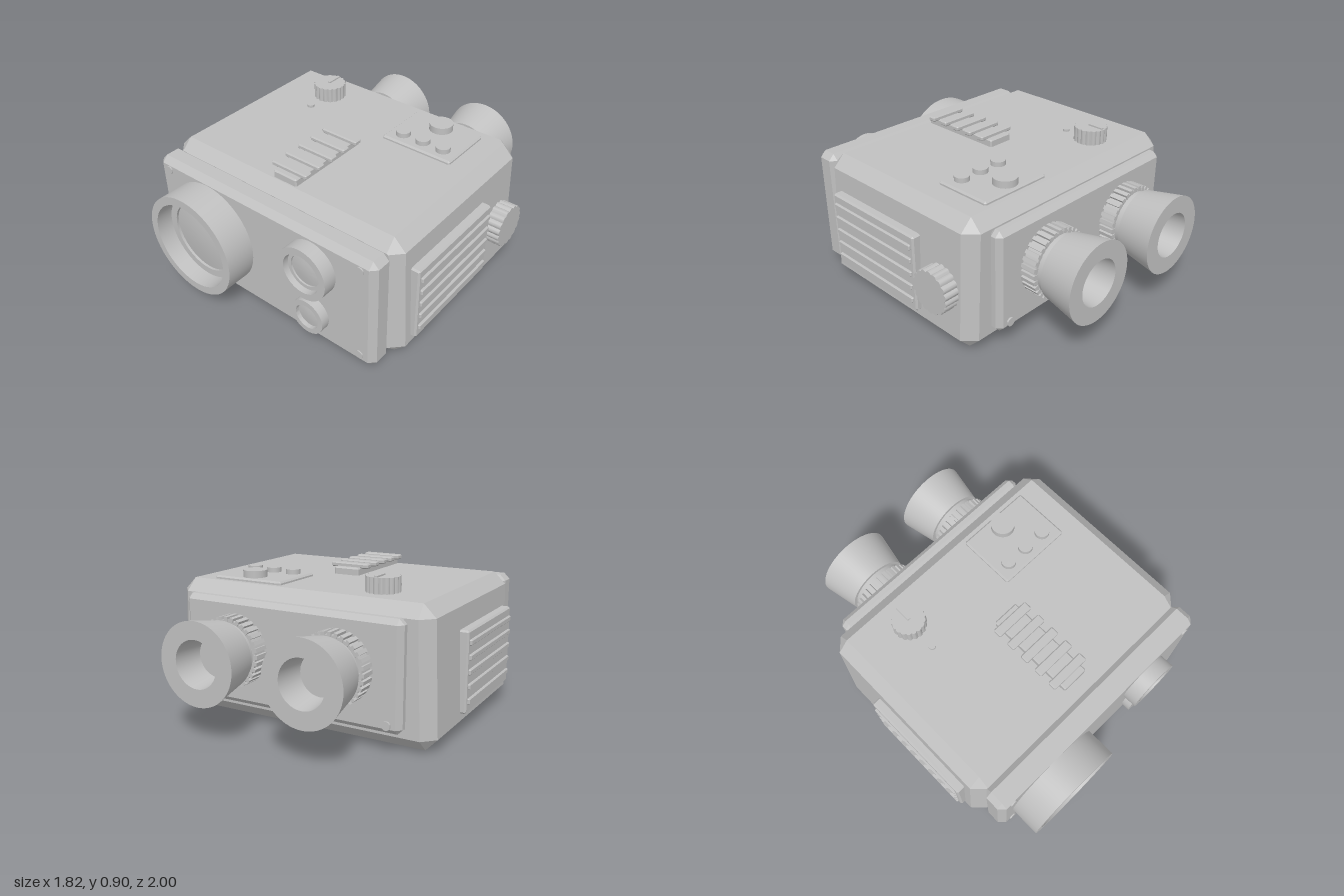
import * as THREE from 'three';
import { toCreasedNormals } from 'three/addons/utils/BufferGeometryUtils.js';
import { ConvexGeometry } from 'three/addons/geometries/ConvexGeometry.js';

export function createModel() {
  const model = new THREE.Group();
  const grey = new THREE.MeshStandardMaterial({ color: 0xc0c0c0 });
  grey.name = 'light grey';

  const add = (name, geo, x = 0, y = 0, z = 0) => {
    const m = new THREE.Mesh(geo, grey);
    m.name = name;
    m.position.set(x, y, z);
    model.add(m);
    return m;
  };

  // Box between two corners with every edge chamfered; taper narrows x upward
  const chamferBox = (name, x0, x1, y0, y1, z0, z1, c, taper = 0) => {
    const h = [(x1 - x0) / 2, (y1 - y0) / 2, (z1 - z0) / 2];
    const pts = [];
    for (const sx of [-1, 1]) for (const sy of [-1, 1]) for (const sz of [-1, 1])
      for (let full = 0; full < 3; full++) {
        const p = [sx, sy, sz].map((s, i) => s * (h[i] - (i === full ? 0 : c)));
        p[0] *= 1 - taper * (p[1] + h[1]) / (2 * h[1]);
        pts.push(new THREE.Vector3(...p));
      }
    return add(name, new ConvexGeometry(pts), (x0 + x1) / 2, (y0 + y1) / 2, (z0 + z1) / 2);
  };

  // Turned part along z; dir 1 faces the front, -1 the back
  const turned = (name, profile, x, y, dir) => {
    let g = new THREE.LatheGeometry(profile.map(([r, d]) => new THREE.Vector2(r, d)), 64);
    g = toCreasedNormals(g, 0.5);
    g.rotateX(dir * Math.PI / 2);
    return add(name, g, x, y, 0);
  };

  // Upright disc standing on base height y
  const disc = (name, r, h, x, y, z) =>
    add(name, new THREE.CylinderGeometry(r, r, h, 40), x, y + h / 2, z);

  // Scalloped knob extruded along +z
  const knobGeometry = (r, depth, lobes) => {
    const pts = [];
    const n = lobes * 8;
    for (let i = 0; i < n; i++) {
      const a = (i / n) * Math.PI * 2;
      const q = r * (0.92 + 0.08 * Math.abs(Math.sin(a * lobes / 2)));
      pts.push(new THREE.Vector2(Math.cos(a) * q, Math.sin(a) * q));
    }
    const g = new THREE.ExtrudeGeometry(new THREE.Shape(pts), { depth, bevelEnabled: false });
    return toCreasedNormals(g, 0.6);
  };

  // Housing, front bezel and rear plate
  chamferBox('body', -0.87, 0.83, 0.01, 0.805, -0.56, 0.67, 0.072, 0.04);
  chamferBox('frontBezel', -0.81, 0.77, 0.04, 0.77, 0.66, 0.815, 0.036);
  chamferBox('rearPlate', -0.72, 0.68, 0.12, 0.74, -0.64, -0.55, 0.03);
  disc('tripodSocket', 0.12, 0.015, -0.02, 0, 0.01);

  // Screws at the bezel corners and the lower rear corners
  for (const x of [-0.72, 0.68]) for (const y of [0.11, 0.705])
    turned('frontScrew', [[0.025, 0.8], [0.025, 0.822], [0, 0.822]], x, y, 1);
  for (const x of [-0.64, 0.6])
    turned('rearScrew', [[0.025, 0.62], [0.025, 0.65], [0, 0.65]], x, 0.17, -1);

  // Main objective lens
  turned('objectiveLens', [
    [0.32, 0.8], [0.32, 1], [0.27, 1], [0.265, 0.9], [0.22, 0.9], [0.22, 0.885],
    [0.15, 0.895], [0.08, 0.902], [0, 0.905],
  ], -0.4, 0.41, 1);

  // Secondary lenses
  turned('upperLens', [
    [0.163, 0.8], [0.163, 0.9], [0.122, 0.9], [0.12, 0.865], [0.098, 0.865],
    [0.098, 0.855], [0.05, 0.862], [0, 0.865],
  ], 0.36, 0.56, 1);
  turned('lowerLens', [
    [0.11, 0.8], [0.11, 0.87], [0.078, 0.87], [0.078, 0.845], [0.04, 0.85], [0, 0.852],
  ], 0.36, 0.23, 1);

  // Eyepieces with ribbed focus rings
  for (const x of [-0.35, 0.315]) {
    turned('focusRing', [[0.192, 0.62], [0.192, 0.73], [0.1, 0.73]], x, 0.45, -1);
    const ribs = 32;
    for (let i = 0; i < ribs; i++) {
      const a = (i / ribs) * Math.PI * 2;
      const rib = add('focusRib', new THREE.BoxGeometry(0.03, 0.022, 0.1),
        x + Math.cos(a) * 0.192, 0.45 + Math.sin(a) * 0.192, -0.683);
      rib.rotation.z = a;
    }
    turned('eyepieceNeck', [[0.175, 0.72], [0.175, 0.78]], x, 0.45, -1);
    turned('eyecup', [
      [0.1, 0.77], [0.195, 0.77], [0.24, 1], [0.137, 1], [0.12, 0.82], [0, 0.82],
    ], x, 0.45, -1);
  }

  // Ribbed side grips
  for (const s of [-1, 1]) {
    const span = (a, b) => [a * s - 0.02, b * s - 0.02].sort((p, q) => p - q);
    chamferBox('sideGrip', ...span(0.8, 0.877), 0.125, 0.605, -0.17, 0.55, 0.01);
    for (let i = 0; i < 5; i++) {
      const y = 0.195 + i * 0.085;
      chamferBox('gripRib', ...span(0.865, 0.89), y - 0.017, y + 0.017, -0.15, 0.53, 0.006);
    }
  }

  // Side adjustment knob
  const sideKnob = add('sideKnob', knobGeometry(0.132, 0.1, 18), 0.805, 0.365, -0.345);
  sideKnob.rotation.y = Math.PI / 2;

  // Mode dial with pointer and index dot
  const dial = add('modeDial', knobGeometry(0.1, 0.1, 18), -0.445, 0.795, -0.31);
  dial.rotation.x = -Math.PI / 2;
  add('dialPointer', new THREE.BoxGeometry(0.018, 0.02, 0.1), -0.445, 0.894, -0.35);
  disc('indexDot', 0.021, 0.02, -0.445, 0.8, -0.12);

  // Accessory rail
  chamferBox('railBase', -0.1, 0.065, 0.79, 0.85, 0.035, 0.59, 0.008);
  for (let i = 0; i < 5; i++) {
    const z = 0.097 + i * 0.1075;
    chamferBox('railBar', -0.145, 0.105, 0.843, 0.873, z - 0.027, z + 0.027, 0.007);
  }

  // Control panel and buttons
  chamferBox('controlPanel', 0.133, 0.6, 0.79, 0.825, -0.46, -0.1, 0.01);
  disc('powerButton', 0.071, 0.05, 0.366, 0.817, -0.375);
  for (const x of [0.226, 0.365, 0.504]) disc('smallButton', 0.044, 0.037, x, 0.817, -0.183);

  return model;
}
